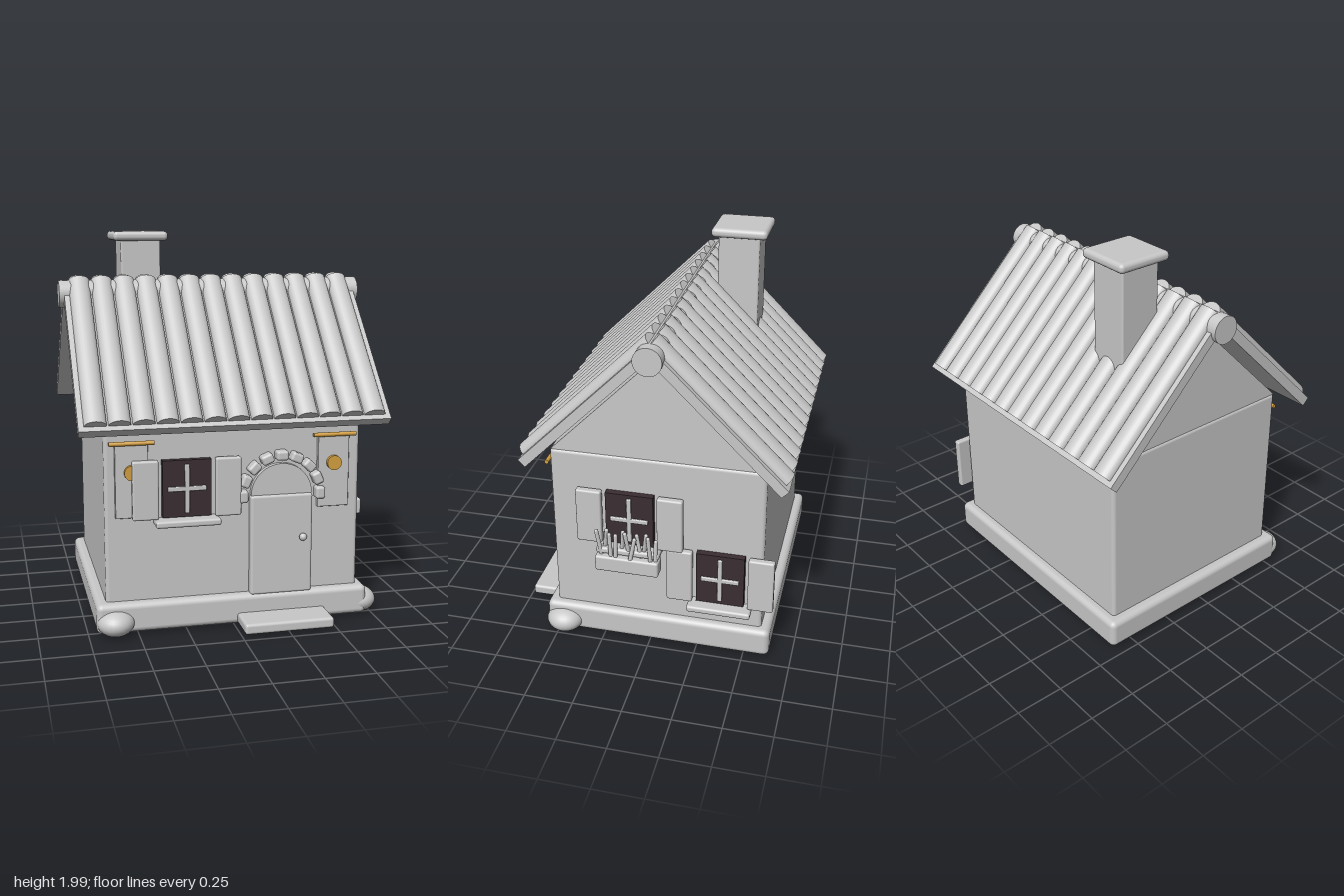
import * as THREE from 'three';
import { RoundedBoxGeometry } from 'three/addons/geometries/RoundedBoxGeometry.js';

const mat = (name, color) => {
  const m = new THREE.MeshStandardMaterial({ color });
  m.name = name;
  return m;
};

export function createModel() {
  const root = new THREE.Group();
  root.name = 'cottage';
  const stone = mat('plaster grey', 0xc8c8c8);
  const gold = mat('gold', 0xd4a040);
  const dark = mat('dark glass', 0x3a2e32);

  const add = (parent, name, geo, m, x = 0, y = 0, z = 0) => {
    const mesh = new THREE.Mesh(geo, m);
    mesh.name = name;
    mesh.position.set(x, y, z);
    parent.add(mesh);
    return mesh;
  };
  // Rounded box given by its extents on each axis
  const block = (parent, name, [x0, x1], [y0, y1], [z0, z1], r = 0.012, m = stone) =>
    add(parent, name, new RoundedBoxGeometry(x1 - x0, y1 - y0, z1 - z0, 3, r), m,
      (x0 + x1) / 2, (y0 + y1) / 2, (z0 + z1) / 2);

  const zc = -0.037, front = 0.513, side = 0.665;

  // Foundation, walls and step
  block(root, 'foundation', [-0.71, 0.71], [0.02, 0.175], [-0.635, 0.562], 0.03);
  block(root, 'walls', [-0.658, side], [0.15, 1.09], [-0.587, front], 0.02);
  block(root, 'doorStep', [0.01, 0.475], [0.025, 0.08], [0.5, 0.73], 0.015);

  // Corner boulders
  for (const [x, z] of [[-0.615, 0.54], [0.69, 0.468]]) {
    const b = add(root, 'boulder', new THREE.SphereGeometry(1, 24, 16), stone, x, 0.075, z);
    b.scale.set(0.095, 0.067, 0.098);
  }

  // Gable prism under the roof
  const tri = new THREE.Shape([[-0.545, 0], [0.545, 0], [0, 0.548]].map(p => new THREE.Vector2(...p)));
  const gable = add(root, 'gable', new THREE.ExtrudeGeometry(tri, { depth: 1.315, bevelEnabled: false }),
    stone, -0.655, 1.088, zc);
  gable.rotation.y = Math.PI / 2;

  // Roof: two slabs with rows of rounded tiles
  for (const turn of [0, Math.PI]) {
    const half = new THREE.Group();
    half.name = turn ? 'backRoof' : 'frontRoof';
    half.position.set(0, 1.747, zc);
    half.rotation.y = turn;
    root.add(half);
    const slope = new THREE.Group();
    slope.name = 'slope';
    slope.rotation.x = Math.PI / 4;
    half.add(slope);
    add(slope, 'roofSlab', new THREE.BoxGeometry(1.575, 0.05, 0.948), stone, 0, -0.025, 0.474);
    for (let i = -6; i <= 6; i++) {
      const tile = add(slope, 'roofTile', new THREE.CylinderGeometry(1, 1, 0.92, 24), stone, i * 0.1175, 0, 0.461);
      tile.rotation.x = Math.PI / 2;
      tile.scale.set(0.055, 1, 0.042);
    }
  }
  const ridge = add(root, 'ridgeBeam', new THREE.CylinderGeometry(0.071, 0.071, 1.625, 28), stone, 0, 1.68, zc);
  ridge.rotation.z = Math.PI / 2;

  // Chimney
  block(root, 'chimney', [-0.465, -0.25], [1.34, 1.96], [-0.37, -0.15], 0.01);
  block(root, 'chimneyCap', [-0.508, -0.212], [1.95, 2.0], [-0.412, -0.115], 0.022);

  // Window facing +z, centred on its glass
  const makeWindow = (name, x, y, z, ry = 0) => {
    const w = new THREE.Group();
    w.name = name;
    w.position.set(x, y, z);
    w.rotation.y = ry;
    root.add(w);
    add(w, 'glass', new THREE.BoxGeometry(0.247, 0.29, 0.05), dark, 0, 0, 0.01);
    block(w, 'verticalBar', [-0.012, 0.012], [-0.125, 0.125], [0.02, 0.046], 0.005);
    block(w, 'crossBar', [-0.098, 0.098], [-0.012, 0.012], [0.02, 0.046], 0.005);
    block(w, 'sill', [-0.165, 0.165], [-0.185, -0.15], [-0.01, 0.09], 0.012);
    for (const s of [-1, 1]) {
      block(w, 'shutter', [s * 0.21 - 0.066, s * 0.21 + 0.066], [-0.15, 0.15], [0.01, 0.05], 0.01);
    }
  };
  makeWindow('frontWindow', -0.248, 0.75, front);
  makeWindow('upperSideWindow', side, 0.75, 0.097, Math.PI / 2);
  makeWindow('lowerSideWindow', side, 0.458, -0.372, Math.PI / 2);

  // Flower box with leaning stems
  block(root, 'flowerBox', [0.695, 0.78], [0.475, 0.562], [-0.068, 0.262], 0.012);
  for (let i = 0; i < 11; i++) {
    const h = 0.11 + 0.035 * Math.abs(Math.sin(i * 2.3));
    const stem = add(root, 'stem', new THREE.CapsuleGeometry(0.011, h, 4, 8), stone,
      0.745 + 0.015 * Math.sin(i * 1.9), 0.555 + h / 2, -0.05 + i * 0.0295);
    stem.rotation.set(0.18 * Math.sin(i * 2.7), 0, 0.12 * Math.cos(i * 1.7));
  }

  // Door with a rounded head and an arch of stones
  const dx = 0.243, dy = 0.69;
  block(root, 'door', [dx - 0.163, dx + 0.163], [0.165, dy], [0.49, 0.553], 0.014);
  const head = new THREE.Shape();
  head.absarc(0, 0, 0.16, 0, Math.PI);
  head.closePath();
  add(root, 'doorHead', new THREE.ExtrudeGeometry(head, { depth: 0.05, bevelEnabled: false, curveSegments: 24 }),
    stone, dx, dy, 0.49);
  add(root, 'doorKnob', new THREE.SphereGeometry(0.02, 16, 12), stone, 0.352, 0.465, 0.568);
  for (let i = 0; i < 9; i++) {
    const a = i * Math.PI / 8;
    const s = add(root, 'archStone', new RoundedBoxGeometry(0.05, 0.064, 0.07, 3, 0.014), stone,
      dx + 0.203 * Math.cos(a), dy + 0.203 * Math.sin(a), 0.53);
    s.rotation.z = a;
  }

  // Banners hanging from gold rods
  for (const x of [-0.523, 0.519]) {
    block(root, 'banner', [x - 0.083, x + 0.083], [0.61, 0.985], [0.505, 0.535], 0.004);
    const rod = add(root, 'bannerRod', new THREE.CylinderGeometry(0.011, 0.011, 0.225, 14), gold, x, 0.99, 0.545);
    rod.rotation.z = Math.PI / 2;
    const disc = add(root, 'bannerDisc', new THREE.CylinderGeometry(0.038, 0.038, 0.025, 28), gold, x, 0.842, 0.542);
    disc.rotation.x = Math.PI / 2;
  }
  return root;
}
